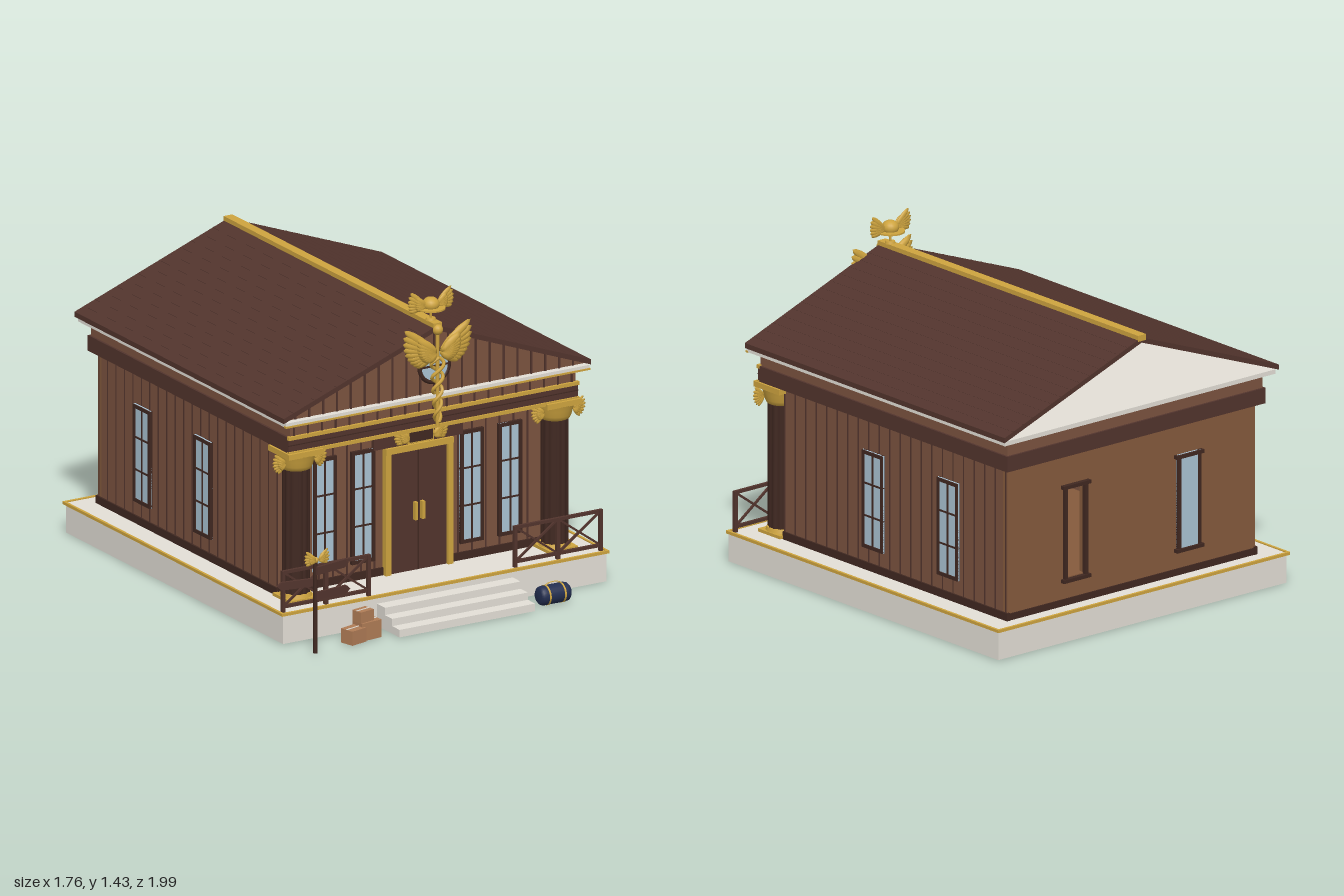
import * as THREE from 'three';

const mat = (name, color) => Object.assign(new THREE.MeshStandardMaterial({ color }), { name });
const M = {
  stone: mat('pale stone', 0xe3dfd6), gold: mat('gold', 0xcea43f), roof: mat('dark roof wood', 0x52342d),
  wall: mat('brown wall wood', 0x7b533f), dark: mat('deep brown wood', 0x402821), glass: mat('window glass', 0xaac3d3),
  navy: mat('navy cloth', 0x232e50), crate: mat('crate wood', 0xb07c56), tan: mat('warm plain wood', 0x855a3c),
};

export function createModel() {
  const model = new THREE.Group();
  const hall = new THREE.Group();
  hall.name = 'hall';
  hall.position.x = 0.05;
  model.add(hall);

  const add = (parent, name, geo, m, x = 0, y = 0, z = 0) => {
    const o = new THREE.Mesh(geo, m);
    o.name = name;
    o.position.set(x, y, z);
    parent.add(o);
    return o;
  };
  const group = (parent, name, x = 0, y = 0, z = 0, ry = 0) => {
    const g = new THREE.Group();
    g.name = name;
    g.position.set(x, y, z);
    g.rotation.y = ry;
    parent.add(g);
    return g;
  };
  // Box given by its extents on each axis
  const box = (p, name, m, x0, x1, y0, y1, z0, z1) =>
    add(p, name, new THREE.BoxGeometry(x1 - x0, y1 - y0, z1 - z0), m, (x0 + x1) / 2, (y0 + y1) / 2, (z0 + z1) / 2);
  // Square bar between two points in the xy plane
  const bar = (p, name, m, ax, ay, bx, by, t) => {
    const o = add(p, name, new THREE.BoxGeometry(Math.hypot(bx - ax, by - ay), t, t), m, (ax + bx) / 2, (ay + by) / 2, 0);
    o.rotation.z = Math.atan2(by - ay, bx - ax);
    return o;
  };
  // Feathered wing fanned out in the xy plane, a long layer under a short one
  const wing = (p, side, len, top, bottom, n, taper, width) => {
    const w = group(p, 'wing');
    for (let layer = 0; layer < 2; layer++) for (let i = 0; i < n; i++) {
      const t = i / (n - 1);
      const l = len * (1 - taper * t) * (layer ? 0.62 : 1);
      const g = new THREE.SphereGeometry(0.5, 8, 6).scale(l, len * width, len * 0.16).translate(l / 2, 0, 0);
      const f = add(w, 'feather', g, M.gold, 0, 0, side * layer * len * 0.07);
      f.rotation.z = top + (bottom - top) * t;
    }
    w.rotation.y = side < 0 ? Math.PI : 0;
    return w;
  };

  // Plinth, gold edging and steps
  box(hall, 'plinth', M.stone, -0.815, 0.815, 0, 0.135, -0.985, 0.795);
  for (const s of [-1, 1]) box(hall, 'sideTrim', M.gold, s * 0.819 - 0.006, s * 0.819 + 0.006, 0.127, 0.14, -0.997, 0.803);
  for (const z of [-0.991, 0.797]) box(hall, 'endTrim', M.gold, -0.825, 0.825, 0.127, 0.14, z - 0.006, z + 0.006);
  for (let i = 0; i < 3; i++) box(hall, 'step', M.stone, -0.342, 0.342, 0, 0.1 - i * 0.033, 0.79, 0.86 + i * 0.06);

  // Hollow walls, with one open window at the back
  box(hall, 'frontWall', M.wall, -0.7, 0.7, 0.135, 0.83, 0.53, 0.56);
  for (const s of [-1, 1]) box(hall, 'sideWall', M.wall, s * 0.685 - 0.015, s * 0.685 + 0.015, 0.135, 0.83, -0.88, 0.53);
  const rect = (S, x0, x1, y0, y1) => {
    const s = new S();
    s.moveTo(x0, y0); s.lineTo(x1, y0); s.lineTo(x1, y1); s.lineTo(x0, y1); s.closePath();
    return s;
  };
  const back = rect(THREE.Shape, -0.7, 0.7, 0.135, 0.83);
  back.holes.push(rect(THREE.Path, 0.265, 0.375, 0.26, 0.66));
  add(hall, 'backWall', new THREE.ExtrudeGeometry(back, { depth: 0.03, bevelEnabled: false }), M.tan, 0, 0, -0.91);
  for (const s of [-1, 1]) box(hall, 'sideBaseboard', M.dark, s * 0.7 - 0.008, s * 0.7 + 0.008, 0.135, 0.17, -0.918, 0.565);
  box(hall, 'frontBaseboard', M.dark, -0.7, 0.7, 0.135, 0.17, 0.55, 0.568);
  box(hall, 'backBaseboard', M.dark, -0.7, 0.7, 0.135, 0.165, -0.916, -0.9);

  // Thin battens on the front and side walls
  for (let i = -9; i <= 9; i++) box(hall, 'frontBatten', M.roof, i * 0.07 - 0.004, i * 0.07 + 0.004, 0.17, 0.83, 0.555, 0.563);
  for (let z = -0.9; z < 0.56; z += 0.0695) for (const s of [-1, 1])
    box(hall, 'sideBatten', M.roof, s * 0.7 - 0.002, s * 0.7 + 0.002, 0.17, 0.83, z - 0.0035, z + 0.0035);

  // Windows
  const windowAt = (x, y, z, ry, w, h, { panes = true, glass = true, sill = 0 } = {}) => {
    const g = group(hall, 'window', x, y, z, ry), t = 0.016;
    if (glass) box(g, 'glass', M.glass, -w / 2, w / 2, -h / 2, h / 2, 0, 0.009);
    for (const s of [-1, 1]) {
      const cx = s * (w / 2 - t / 2), cy = s * (h / 2 - t / 2);
      box(g, 'jamb', M.dark, cx - t / 2, cx + t / 2, -h / 2, h / 2, -0.005, 0.014);
      box(g, 'rail', M.dark, -w / 2 - sill, w / 2 + sill, cy - t / 2, cy + t / 2, -0.005, 0.014 + sill / 2);
      if (panes) box(g, 'crossbar', M.dark, -w / 2, w / 2, s * h / 6 - 0.004, s * h / 6 + 0.004, 0, 0.012);
    }
    if (panes) box(g, 'mullion', M.dark, -0.004, 0.004, -h / 2, h / 2, 0, 0.012);
  };
  for (const s of [-1, 1]) {
    for (const x of [0.274, 0.467]) windowAt(s * x, 0.465, 0.562, 0, 0.118, 0.51);
    for (const z of [-0.035, -0.53]) windowAt(s * 0.703, 0.457, z, s * Math.PI / 2, 0.138, 0.44);
    windowAt(s * 0.32, 0.46, -0.911, Math.PI, 0.13, 0.44, { panes: false, glass: s < 0, sill: 0.012 });
  }

  // Inside: boarded floor and ceiling, and a bed behind the open window
  box(hall, 'innerFloor', M.tan, -0.67, 0.67, 0.135, 0.145, -0.88, 0.53);
  box(hall, 'innerCeiling', M.tan, -0.67, 0.67, 0.805, 0.82, -0.88, 0.53);
  box(hall, 'bedFrame', M.crate, 0.36, 0.66, 0.145, 0.22, -0.85, -0.35);
  box(hall, 'mattress', M.stone, 0.37, 0.65, 0.22, 0.265, -0.84, -0.36);
  box(hall, 'blanket', M.navy, 0.365, 0.655, 0.22, 0.275, -0.84, -0.62);

  // Double door with gold surround and handles
  box(hall, 'door', M.roof, -0.15, 0.15, 0.135, 0.69, 0.56, 0.575);
  box(hall, 'doorGap', M.dark, -0.003, 0.003, 0.135, 0.69, 0.57, 0.577);
  for (const s of [-1, 1]) {
    box(hall, 'doorJamb', M.gold, s * 0.157 - 0.013, s * 0.157 + 0.013, 0.135, 0.71, 0.55, 0.59);
    box(hall, 'handle', M.gold, s * 0.018 - 0.007, s * 0.018 + 0.007, 0.365, 0.445, 0.575, 0.595);
  }
  box(hall, 'doorLintel', M.gold, -0.17, 0.17, 0.682, 0.71, 0.55, 0.592);

  // Winged plaque above the door
  box(hall, 'plaqueBoard', M.roof, -0.225, 0.225, 0.71, 0.79, 0.555, 0.58);
  box(hall, 'plaqueBorder', M.gold, -0.065, 0.065, 0.718, 0.788, 0.58, 0.6);
  box(hall, 'plaqueFace', M.dark, -0.058, 0.058, 0.725, 0.781, 0.6, 0.605);
  for (const s of [-1, 1]) wing(group(hall, 'plaqueWing', s * 0.06, 0.742, 0.6), s, 0.095, 0.75, -0.25, 6, 0.3, 0.25);

  // Fluted corner columns with winged capitals
  const flute = new THREE.CylinderGeometry(0.062, 0.062, 0.56, 48, 1);
  const fp = flute.attributes.position;
  for (let i = 0; i < fp.count; i++) {
    const k = 1 - 0.1 * (0.5 + 0.5 * Math.cos(12 * Math.atan2(fp.getZ(i), fp.getX(i))));
    fp.setX(i, fp.getX(i) * k);
    fp.setZ(i, fp.getZ(i) * k);
  }
  flute.computeVertexNormals();
  const bell = [[0.05, 0], [0.066, 0.008], [0.074, 0.025], [0.08, 0.05], [0.088, 0.075]].map(p => new THREE.Vector2(...p));
  for (const s of [-1, 1]) {
    const c = group(hall, 'column', s * 0.652, 0, 0.635);
    box(c, 'columnBase', M.gold, -0.073, 0.073, 0.138, 0.152, -0.073, 0.073);
    add(c, 'columnRing', new THREE.CylinderGeometry(0.065, 0.07, 0.016, 24), M.gold, 0, 0.16, 0);
    add(c, 'shaft', flute, M.dark, 0, 0.445, 0);
    add(c, 'capital', new THREE.LatheGeometry(bell, 24), M.gold, 0, 0.722, 0);
    box(c, 'abacus', M.gold, -0.088, 0.088, 0.795, 0.82, -0.085, 0.085);
    for (const k of [-1, 1]) wing(group(c, 'capitalWing', k * 0.074, 0.766, 0.03), k, 0.07, 0.7, -0.9, 7, 0.2, 0.28);
  }

  // Entablature and cornice
  box(hall, 'frieze', M.roof, -0.73, 0.73, 0.82, 0.89, -0.945, 0.7);
  for (const y of [0.818, 0.887]) box(hall, 'friezeLine', M.gold, -0.732, 0.732, y - 0.008, y + 0.008, 0.69, 0.708);
  box(hall, 'friezeGroove', M.dark, -0.73, 0.73, 0.852, 0.856, 0.698, 0.704);
  box(hall, 'upperBand', M.wall, -0.72, 0.72, 0.89, 0.952, -0.935, 0.695);
  for (let i = -10; i <= 10; i++) box(hall, 'bandBatten', M.roof, i * 0.07 - 0.004, i * 0.07 + 0.004, 0.893, 0.952, 0.69, 0.7);
  box(hall, 'cornice', M.stone, -0.765, 0.765, 0.952, 0.972, -0.97, 0.737);
  box(hall, 'corniceLine', M.gold, -0.767, 0.767, 0.95, 0.958, 0.725, 0.741);

  // Boarded front gable
  const gable = new THREE.Shape([[-0.772, 0.971], [0.772, 0.971], [0, 1.265]].map(p => new THREE.Vector2(...p)));
  add(hall, 'gable', new THREE.ExtrudeGeometry(gable, { depth: 0.02, bevelEnabled: false }), M.wall, 0, 0, 0.685);
  for (let i = -10; i <= 10; i++) {
    const x = i * 0.07;
    box(hall, 'gableBatten', M.roof, x - 0.004, x + 0.004, 0.972, 1.262 - 0.381 * Math.abs(x), 0.7, 0.711);
  }
  const rose = group(hall, 'roundWindow', 0, 1.095, 0.708);
  add(rose, 'roundGlass', new THREE.CircleGeometry(0.072, 32), M.glass, 0, 0, 0.005);
  add(rose, 'roundFrame', new THREE.TorusGeometry(0.074, 0.01, 8, 32), M.dark);
  box(rose, 'roundBar', M.dark, -0.07, 0.07, -0.004, 0.004, 0, 0.01);

  // Roof, open at the back, with faint ribs and a ridge
  const pitch = [[-0.775, 0.994], [-0.775, 0.971], [0, 1.26], [0.775, 0.971], [0.775, 0.994], [0, 1.283]];
  const roofShape = new THREE.Shape(pitch.map(p => new THREE.Vector2(...p)));
  add(hall, 'roof', new THREE.ExtrudeGeometry(roofShape, { depth: 1.715, bevelEnabled: false }), M.roof, 0, 0, -0.98);
  for (const s of [-1, 1]) for (let i = 1; i < 14; i++) {
    const x = 0.02 + i * 0.054;
    const r = add(hall, 'roofRib', new THREE.BoxGeometry(0.008, 0.008, 1.713), M.roof, s * x, 1.2796 - 0.373 * x, -0.1225);
    r.rotation.z = -s * 0.357;
  }
  box(hall, 'ridge', M.gold, -0.022, 0.022, 1.268, 1.295, -0.982, 0.738);

  // Winged staff with two entwined serpents on the gable
  const staff = group(hall, 'staffEmblem', 0, 0, 0.735);
  add(staff, 'staff', new THREE.CylinderGeometry(0.008, 0.008, 0.45, 10), M.gold, 0, 1.055, 0);
  add(staff, 'staffKnob', new THREE.SphereGeometry(0.024, 16, 12), M.gold, 0, 1.265, 0);
  for (const s of [-1, 1]) {
    const pts = Array.from({ length: 30 }, (_, i) => {
      const t = i / 29, a = t * Math.PI * 5, r = 0.012 + 0.022 * t;
      return new THREE.Vector3(s * r * Math.sin(a), 0.85 + 0.29 * t, s * 0.012 * Math.cos(a));
    });
    add(staff, 'serpent', new THREE.TubeGeometry(new THREE.CatmullRomCurve3(pts), 70, 0.008, 6), M.gold);
    add(staff, 'serpentHead', new THREE.SphereGeometry(0.012, 10, 8), M.gold, s * 0.03, 1.145, 0.005);
    wing(group(staff, 'staffWing', s * 0.012, 1.165, 0), s, 0.195, 0.66, -0.55, 9, 0.44, 0.22);
  }

  // Winged hat finial on the ridge
  const hat = group(hall, 'hatFinial', 0, 0, 0.68);
  add(hat, 'finialPole', new THREE.CylinderGeometry(0.006, 0.006, 0.07, 8), M.gold, 0, 1.315, 0);
  add(hat, 'finialFoot', new THREE.CylinderGeometry(0.02, 0.024, 0.012, 16), M.gold, 0, 1.298, 0);
  add(hat, 'brim', new THREE.CylinderGeometry(0.064, 0.064, 0.007, 24), M.gold, 0, 1.348, 0);
  add(hat, 'crown', new THREE.SphereGeometry(0.038, 18, 12).scale(1, 0.85, 1), M.gold, 0, 1.365, 0);
  for (const s of [-1, 1]) wing(group(hat, 'hatWing', s * 0.03, 1.362, 0), s, 0.1, 0.75, -0.25, 6, 0.2, 0.27);

  // Porch railings with crossed braces
  for (const s of [-1, 1]) {
    const r = group(hall, 'railing', s * 0.585, 0, 0.77);
    for (const x of [-0.215, 0, 0.215]) box(r, 'railPost', M.roof, x - 0.008, x + 0.008, 0.135, 0.32, -0.008, 0.008);
    for (const y of [0.16, 0.315]) bar(r, 'rail', M.roof, -0.223, y, 0.223, y, 0.014);
    for (const x of [-0.215, 0]) {
      bar(r, 'brace', M.roof, x, 0.16, x + 0.215, 0.315, 0.009);
      bar(r, 'brace', M.roof, x, 0.315, x + 0.215, 0.16, 0.009);
    }
  }

  // Signpost with pointed boards and a small winged cap
  const post = group(model, 'signpost', -0.71, 0, 0.97);
  add(post, 'post', new THREE.CylinderGeometry(0.01, 0.01, 0.42, 10), M.dark, 0, 0.21, 0);
  const arrow = new THREE.Shape([[-0.005, -0.018], [0.155, -0.018], [0.175, 0], [0.155, 0.018], [-0.005, 0.018]].map(p => new THREE.Vector2(...p)));
  const arrowGeo = new THREE.ExtrudeGeometry(arrow, { depth: 0.012, bevelEnabled: false }).translate(0, 0, 0.006);
  [[0.375, 0.18], [0.318, Math.PI - 0.15], [0.262, 0.1]].forEach(([y, a]) => {
    add(post, 'signBoard', arrowGeo, M.roof, 0, y, 0).rotation.y = a;
  });
  add(post, 'postCap', new THREE.SphereGeometry(0.014, 12, 10), M.gold, 0, 0.42, 0);
  for (const s of [-1, 1]) wing(group(post, 'postWing', s * 0.008, 0.425, 0.012), s, 0.064, 0.75, -0.4, 5, 0.2, 0.3);

  // Stacked crates
  [[-0.492, 0, 0.928, 0.085, 0.064, 0.07, 0.25], [-0.41, 0, 0.905, 0.105, 0.08, 0.07, 0.1], [-0.43, 0.08, 0.905, 0.075, 0.05, 0.055, 0.2]]
    .forEach(([x, y, z, w, h, d, a]) => {
      const c = group(model, 'crate', x, y, z, a);
      box(c, 'crateBox', M.crate, -w / 2, w / 2, 0, h, -d / 2, d / 2);
      box(c, 'crateBand', M.stone, -w / 2, w / 2, h, h + 0.002, -0.003, 0.003);
    });

  // Duffel bag
  const bag = group(model, 'duffelBag', 0.515, 0.043, 0.927);
  const bagProfile = [[0, -0.075], [0.03, -0.075], [0.04, -0.066], [0.043, -0.05], [0.043, 0.05], [0.04, 0.066], [0.03, 0.075], [0, 0.075]];
  add(bag, 'bagBody', new THREE.LatheGeometry(bagProfile.map(p => new THREE.Vector2(...p)), 24).rotateZ(Math.PI / 2), M.navy);
  for (const x of [-0.038, 0.038]) add(bag, 'strap', new THREE.CylinderGeometry(0.0445, 0.0445, 0.008, 24).rotateZ(Math.PI / 2), M.gold, x);
  add(bag, 'bagHandle', new THREE.TorusGeometry(0.038, 0.004, 6, 20, Math.PI).scale(1, 0.4, 1), M.gold, 0, 0.04, 0);

  return model;
}
